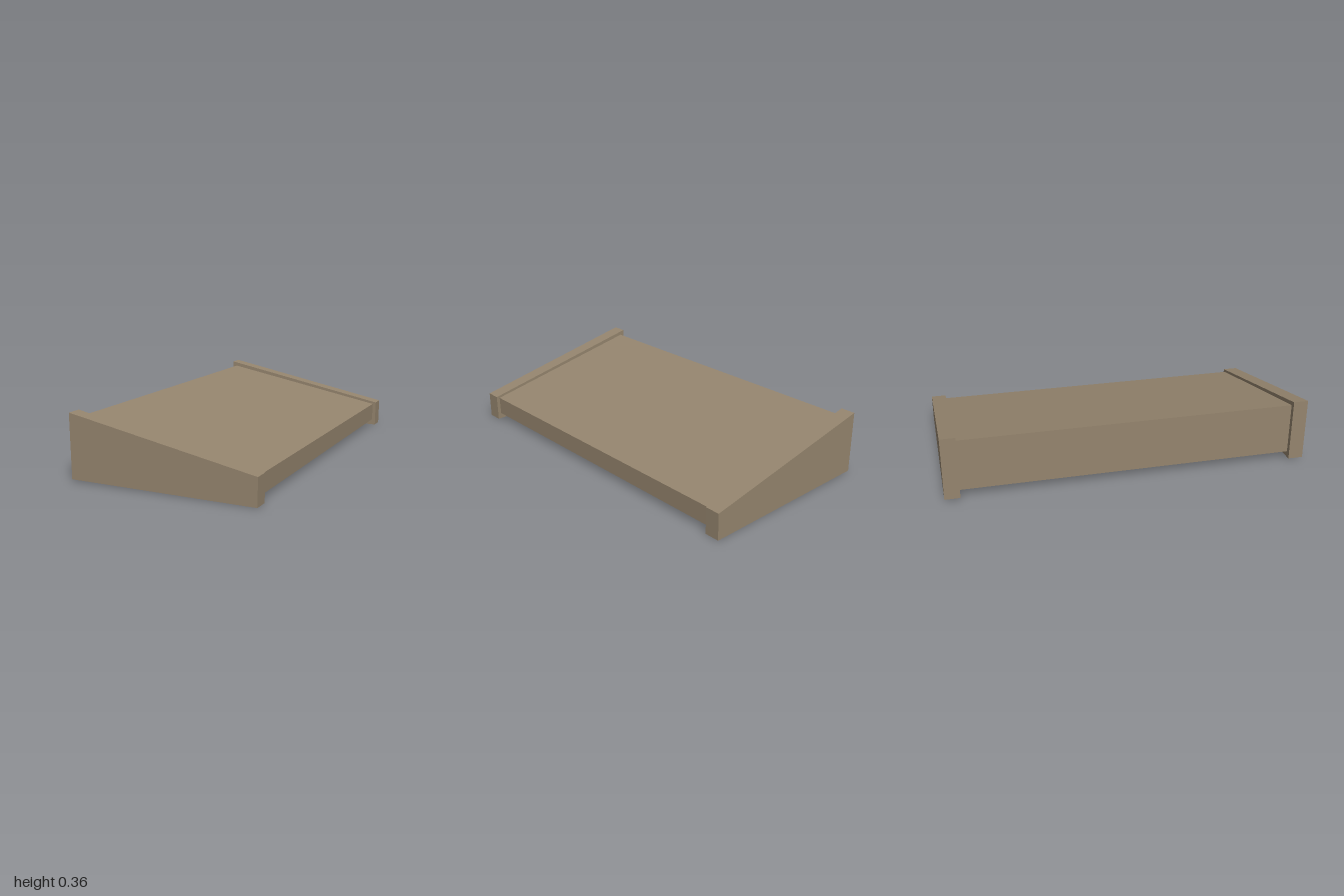
import * as THREE from 'three';

// Extrude an x-y outline from z0 to z1
function slab(name, points, z0, z1, material) {
  const shape = new THREE.Shape(points.map(([x, y]) => new THREE.Vector2(x, y)));
  const geometry = new THREE.ExtrudeGeometry(shape, { depth: z1 - z0, bevelEnabled: false });
  geometry.translate(0, 0, z0);
  const mesh = new THREE.Mesh(geometry, material);
  mesh.name = name;
  return mesh;
}

export function createModel() {
  const group = new THREE.Group();
  group.name = 'slopedRamp';

  const tan = new THREE.MeshStandardMaterial({ color: 0x95856e });
  tan.name = 'tan';

  const capProfile = [[-0.518, 0.01], [0.518, 0], [0.52, 0.149], [-0.52, 0.358]];
  const deckProfile = [[-0.492, 0.043], [0.498, 0.034], [0.5, 0.138], [-0.494, 0.33]];
  const inner = 0.917;

  // Sloped deck between the two end caps
  group.add(slab('deck', deckProfile, -inner, inner, tan));

  // Taller end caps
  group.add(slab('frontCap', capProfile, inner, 1, tan));
  group.add(slab('backCap', capProfile, -1, -inner, tan));

  return group;
}
